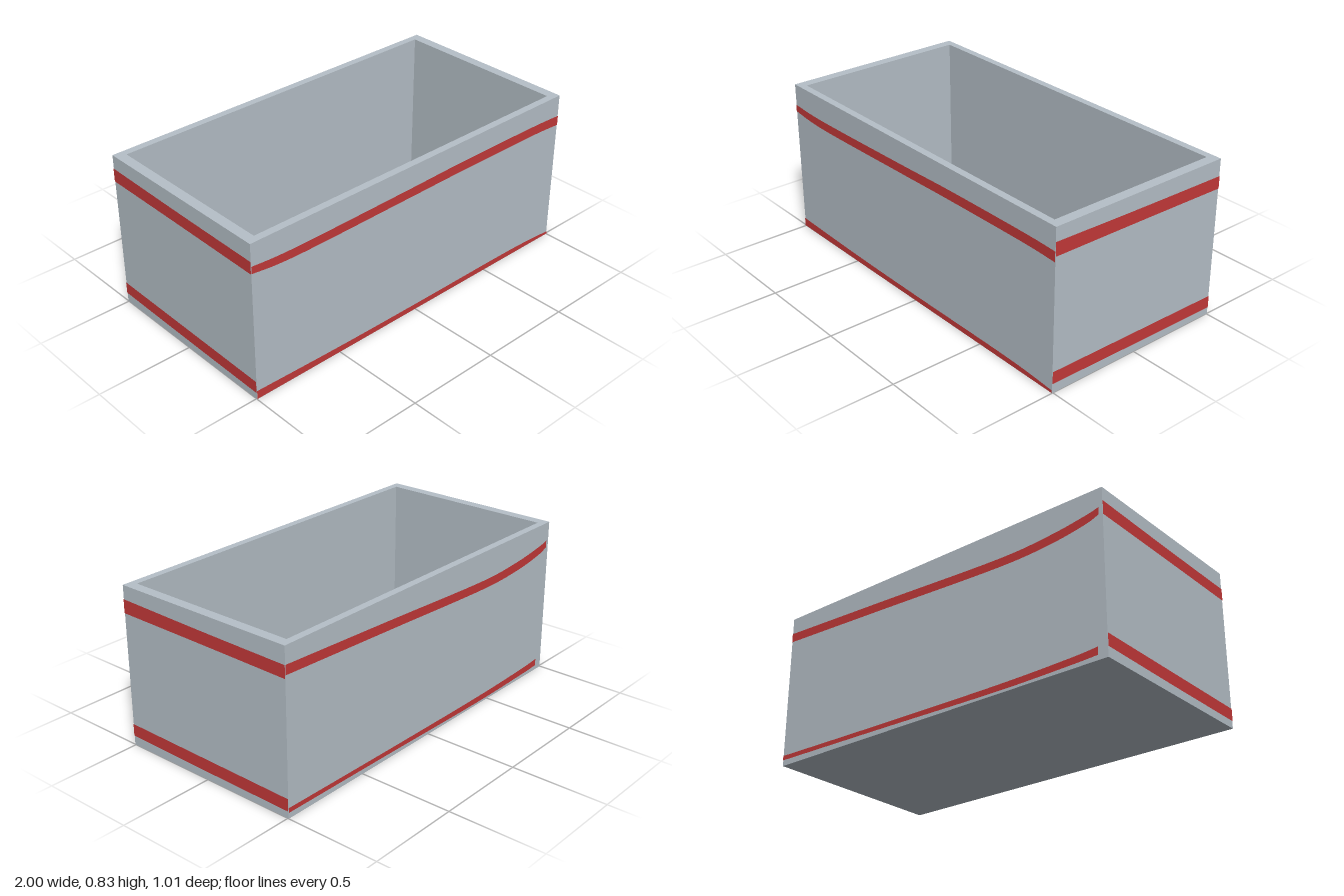
import * as THREE from 'three';

const W = 1, D = 0.505, H = 0.83; // half width, half depth, height
const IW = 0.948, ID = 0.467; // half sizes of the opening
const FLOOR = 0.04;
const LIFT = 0.002; // gap between painted band and wall

const shell = new THREE.MeshStandardMaterial({ color: 0xb6c0c8 });
shell.name = 'pale grey';
const paint = new THREE.MeshStandardMaterial({ color: 0xc43939 });
paint.name = 'red';

function rect(Type, w, d) {
  return new Type([[-w, -d], [w, -d], [w, d], [-w, d]].map(([x, y]) => new THREE.Vector2(x, y)));
}

// Flat band: stations of [position along wall, lower edge, upper edge]
function bandGeometry(stations) {
  const edge = (k) => new THREE.SplineCurve(stations.map((s) => new THREE.Vector2(s[0], s[k]))).getPoints(32);
  return new THREE.ShapeGeometry(new THREE.Shape([...edge(1), ...edge(2).reverse()]));
}

export function createModel() {
  const model = new THREE.Group();
  model.name = 'openBox';

  // Four walls as one hollow extrusion
  const outline = rect(THREE.Shape, W, D);
  outline.holes.push(rect(THREE.Path, IW, ID));
  const wallGeometry = new THREE.ExtrudeGeometry(outline, { depth: H, bevelEnabled: false });
  wallGeometry.rotateX(-Math.PI / 2);
  const walls = new THREE.Mesh(wallGeometry, shell);
  walls.name = 'walls';
  model.add(walls);

  // Floor inside the walls
  const floor = new THREE.Mesh(new THREE.BoxGeometry(2 * IW, FLOOR, 2 * ID), shell);
  floor.position.y = FLOOR / 2;
  floor.name = 'floor';
  model.add(floor);

  // Painted bands, each given left to right as seen facing its wall
  const endUpper = [[-D, 0.69, 0.76], [0, 0.685, 0.749], [D, 0.678, 0.742]];
  const endLower = [[-D, 0.05, 0.112], [0, 0.042, 0.106], [D, 0.037, 0.1]];
  const sides = [
    { name: 'front', angle: 0, reach: D,
      upper: [[-1, 0.68, 0.717], [-0.75, 0.66, 0.705], [-0.1, 0.666, 0.713], [0.3, 0.671, 0.721], [0.8, 0.671, 0.721], [1, 0.663, 0.715]],
      lower: [[-1, 0.003, 0.048], [-0.5, 0.002, 0.035], [0, 0.002, 0.031], [0.7, 0.002, 0.031], [1, 0.002, 0.016]] },
    { name: 'left', angle: Math.PI / 2, reach: W, upper: endUpper, lower: endLower },
    { name: 'back', angle: Math.PI, reach: D,
      upper: [[-1, 0.695, 0.743], [-0.3, 0.665, 0.712], [0.4, 0.635, 0.68], [0.7, 0.643, 0.69], [0.9, 0.67, 0.715], [0.98, 0.695, 0.732]],
      lower: [[-1, 0.03, 0.054], [-0.3, 0.022, 0.046], [0.4, 0.012, 0.043], [0.8, 0.018, 0.052], [0.95, 0.024, 0.062]] },
    { name: 'right', angle: -Math.PI / 2, reach: W, upper: endUpper, lower: endLower },
  ];
  for (const { name, angle, reach, upper, lower } of sides) {
    const side = new THREE.Group();
    side.name = `${name}Bands`;
    side.rotation.y = angle;
    for (const [label, stations] of [['upperBand', upper], ['lowerBand', lower]]) {
      const band = new THREE.Mesh(bandGeometry(stations), paint);
      band.position.z = reach + LIFT;
      band.name = label;
      side.add(band);
    }
    model.add(side);
  }
  return model;
}
